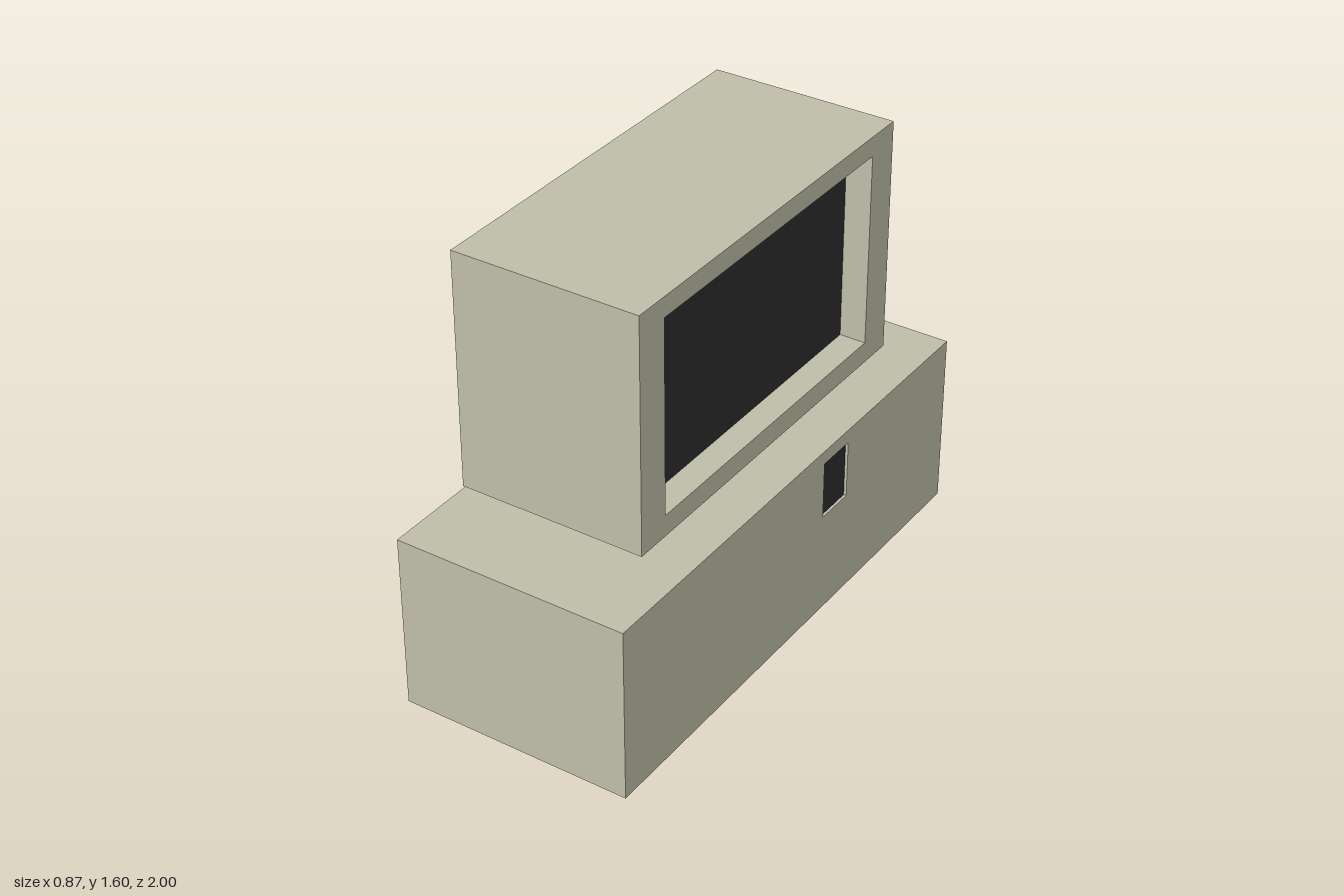
import * as THREE from 'three';

const beige = new THREE.MeshStandardMaterial({ color: 0xc0bfaa });
beige.name = 'beige casing';
const grey = new THREE.MeshStandardMaterial({ color: 0xb1b1b3 });
grey.name = 'grey stand';
const black = new THREE.MeshStandardMaterial({ color: 0x2d2d2d });
black.name = 'dark glass';

// Box given by its [min, max] range on each axis
function box(name, material, [x0, x1], [y0, y1], [z0, z1]) {
  const mesh = new THREE.Mesh(new THREE.BoxGeometry(x1 - x0, y1 - y0, z1 - z0), material);
  mesh.position.set((x0 + x1) / 2, (y0 + y1) / 2, (z0 + z1) / 2);
  mesh.name = name;
  return mesh;
}

// Rectangle outline in the side plane, where u = -z
function trace(path, [y0, y1], [z0, z1]) {
  path.moveTo(-z1, y0);
  path.lineTo(-z0, y0);
  path.lineTo(-z0, y1);
  path.lineTo(-z1, y1);
  path.closePath();
  return path;
}

// Casing whose +x side has a rectangular recess with a dark panel at its bottom
function casing(name, panelName, x, y, z, hole) {
  const group = new THREE.Group();
  group.name = name;
  const floor = x[1] - hole.depth;

  const outline = trace(new THREE.Shape(), y, z);
  outline.holes.push(trace(new THREE.Path(), hole.y, hole.z));
  const geometry = new THREE.ExtrudeGeometry(outline, { depth: hole.depth, bevelEnabled: false });
  geometry.rotateY(Math.PI / 2).translate(floor, 0, 0);
  const frame = new THREE.Mesh(geometry, beige);
  frame.name = name + 'Frame';

  group.add(
    frame,
    box(name + 'Body', beige, [x[0], floor], y, z),
    box(panelName, black, [floor - 0.002, floor + 0.002], hole.y, hole.z)
  );
  return group;
}

export function createModel() {
  const model = new THREE.Group();
  model.name = 'desktopComputer';
  model.add(
    // Wide computer case with a shallow drive slot
    casing('computerCase', 'driveSlot', [-0.433, 0.433], [0, 0.653], [-1, 1],
      { y: [0.385, 0.602], z: [-0.325, -0.172], depth: 0.012 }),
    // Short neck carrying the monitor
    box('monitorStand', grey, [-0.24, 0.193], [0.653, 0.733], [-0.263, 0.17]),
    // Monitor with a deeply set screen
    casing('monitor', 'screen', [-0.368, 0.323], [0.733, 1.6], [-0.738, 0.738],
      { y: [0.812, 1.527], z: [-0.607, 0.607], depth: 0.1 })
  );
  return model;
}
